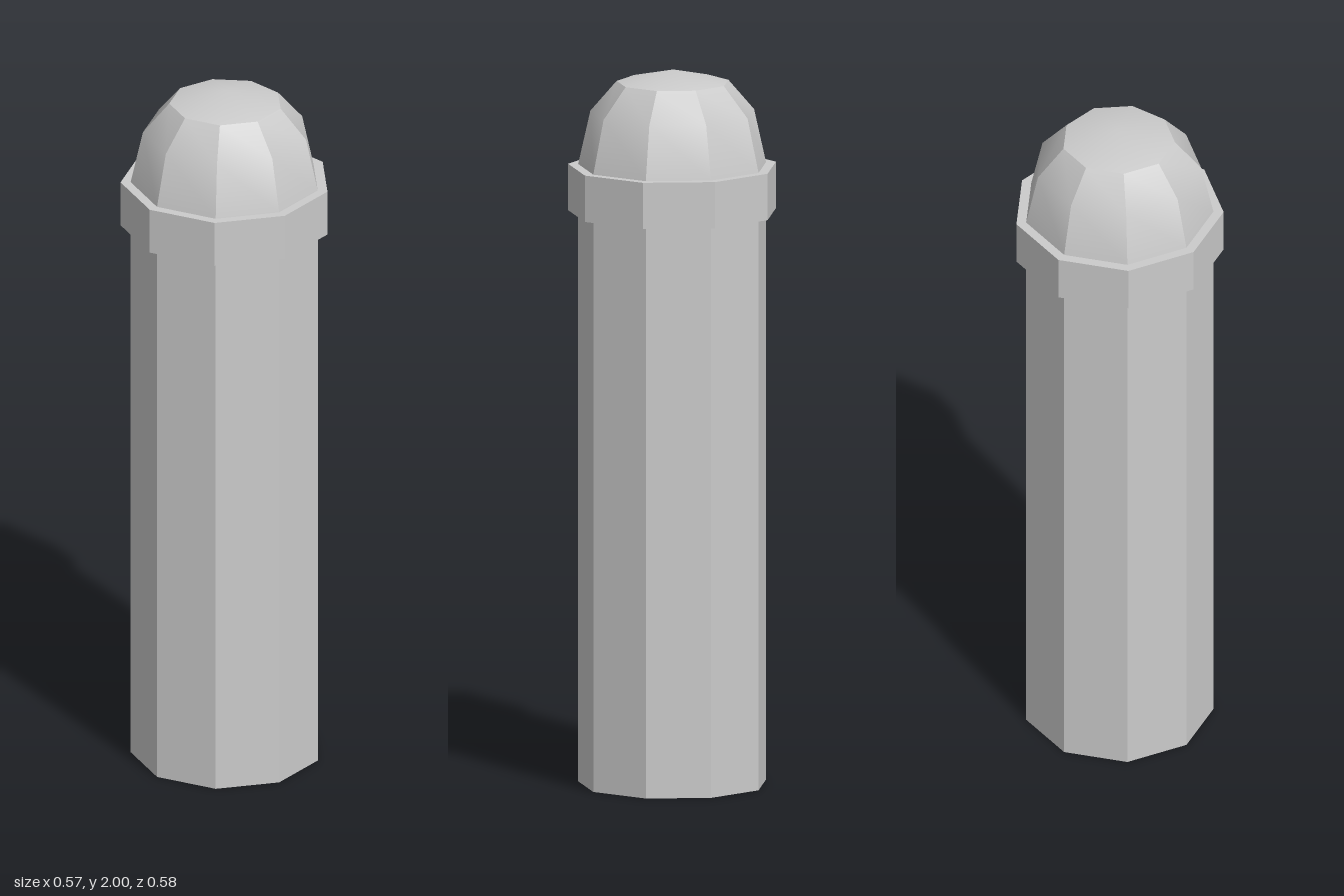
import * as THREE from 'three';
import { toCreasedNormals } from 'three/addons/utils/BufferGeometryUtils.js';

const SIDES = 9;
const SHAFT_R = 0.264;
const COLLAR_R = 0.292;
const COLLAR_BOTTOM = 1.6;
const COLLAR_TOP = 1.73;

// Nine-sided turned part with one corner pointing to +x; profile runs bottom to top
function turned(name, profile, crease) {
  const points = profile.map(([r, y]) => new THREE.Vector2(r, y));
  const lathe = new THREE.LatheGeometry(points, SIDES, Math.PI / 2);
  const material = new THREE.MeshStandardMaterial({ color: 0xcccccc });
  const mesh = new THREE.Mesh(toCreasedNormals(lathe, crease), material);
  mesh.name = name;
  return mesh;
}

export function createModel() {
  const group = new THREE.Group();
  group.name = 'bollard';

  // Straight post with a closed base
  group.add(turned('shaft', [[0, 0], [SHAFT_R, 0], [SHAFT_R, COLLAR_TOP]], 0.5));

  // Projecting band under the dome
  group.add(turned('collar', [
    [SHAFT_R, COLLAR_BOTTOM], [COLLAR_R, COLLAR_BOTTOM],
    [COLLAR_R, COLLAR_TOP], [SHAFT_R, COLLAR_TOP],
  ], 0.5));

  // Faceted dome, smooth up its sides, with a shallow peak
  group.add(turned('domeCap', [
    [SHAFT_R, COLLAR_TOP], [0.23, 1.88], [0.157, 1.965], [0, 2],
  ], 0.53));

  // Centre the odd-sided outline on x = 0
  group.children.forEach((part) => { part.position.x = -0.009; });
  return group;
}
